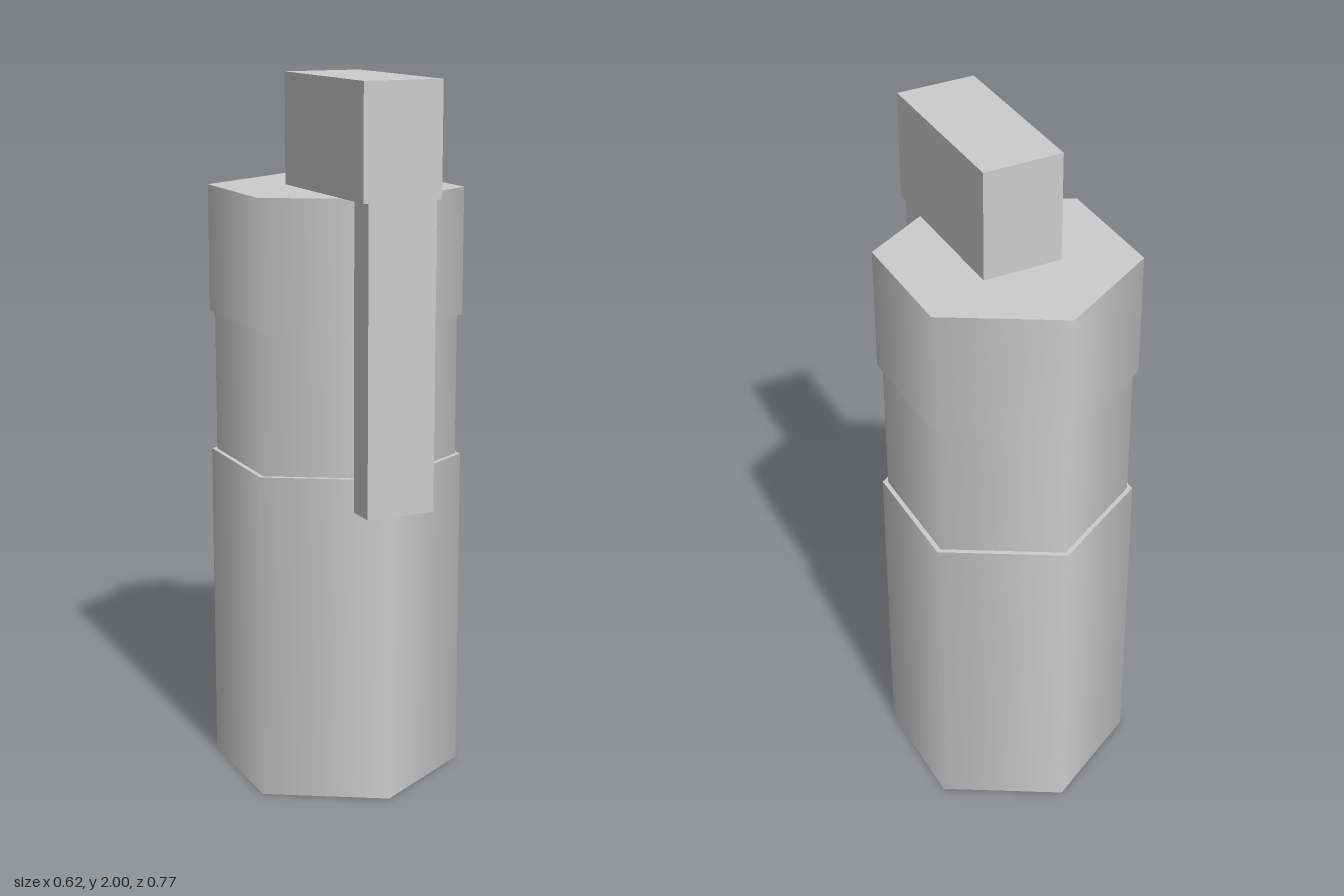
import * as THREE from 'three';

export function createModel() {
  const model = new THREE.Group();
  model.name = 'lighter';
  const grey = new THREE.MeshStandardMaterial({ color: 0xcccccc });
  grey.name = 'light grey';

  const add = (name, geometry, x, y, z) => {
    const mesh = new THREE.Mesh(geometry, grey);
    mesh.name = name;
    mesh.position.set(x, y, z);
    model.add(mesh);
  };

  // Six-sided, smooth-shaded body sections: name, radius, bottom, top
  const sections = [
    ['lowerBody', 0.357, 0, 0.93],
    ['neck', 0.342, 0.93, 1.333],
    ['collar', 0.357, 1.333, 1.69],
  ];
  for (const [name, radius, bottom, top] of sections) {
    add(name, new THREE.CylinderGeometry(radius, radius, top - bottom, 6), 0, (bottom + top) / 2, -0.03);
  }

  // Block on top, overhanging the front
  add('topBlock', new THREE.BoxGeometry(0.228, 0.31, 0.5), 0, 1.845, 0.135);

  // Flat lever hanging down the front
  add('frontLever', new THREE.BoxGeometry(0.198, 0.845, 0.085), 0, 1.2675, 0.3425);

  return model;
}
